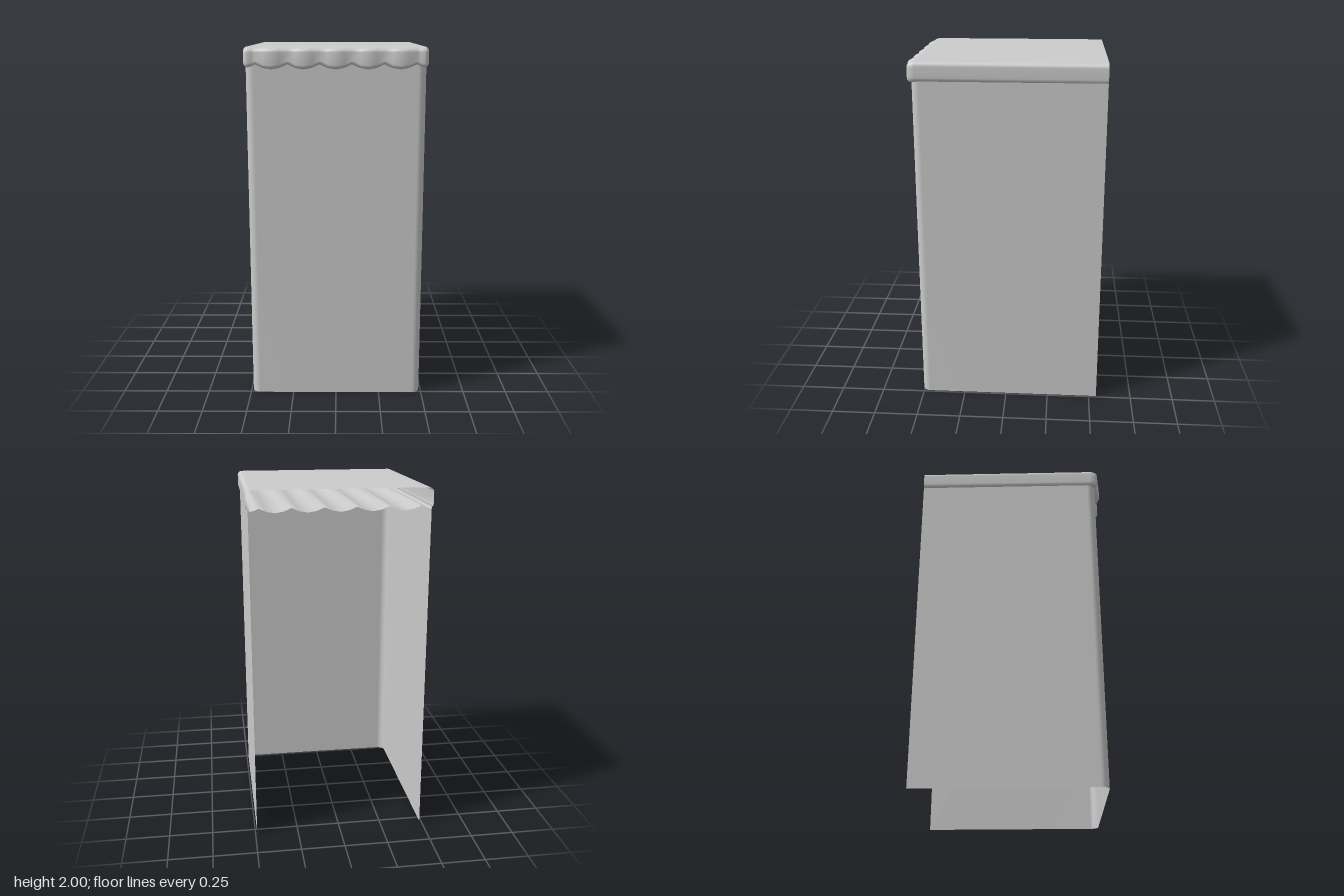
import * as THREE from 'three';

const BACK = -0.545;

// Smooth surface through rows of [x, y, z] points, all rows the same length
function gridGeometry(rows) {
  const n = rows[0].length, index = [];
  for (let i = 0; i < rows.length - 1; i++) {
    for (let j = 0; j < n - 1; j++) {
      const a = i * n + j, b = a + n;
      index.push(a, a + 1, b, b, a + 1, b + 1);
    }
  }
  const g = new THREE.BufferGeometry();
  g.setAttribute('position', new THREE.Float32BufferAttribute(rows.flat(2), 3));
  g.setIndex(index);
  g.computeVertexNormals();
  return g;
}

// U-shaped wall: two sides and a front joined by rounded corners, open at the back
function wallGeometry() {
  const w = 0.49, front = 0.508, r = 0.045, steps = 6;
  const half = [[w, BACK]];
  for (let i = 0; i <= steps; i++) {
    const a = (i / steps) * Math.PI / 2;
    half.push([w - r + r * Math.cos(a), front - r + r * Math.sin(a)]);
  }
  const path = [...half, ...half.map(([x, z]) => [-x, z]).reverse()];
  return gridGeometry(path.map(([x, z]) => [[x, 1.91, z], [x, 0, z]]));
}

// Hollow lid: flat top, scalloped front lip and rippled underside, open at the back
function lidGeometry() {
  const pitch = 0.174, scallops = 5, segs = 4, arc = 4;
  const edge = pitch * scallops / 2;
  const columns = []; // x, top y, bottom y, front z
  for (let i = 0; i <= scallops * segs; i++) {
    const s = Math.sin(((i % segs) / segs) * Math.PI);
    columns.push([-edge + (i * pitch) / segs, 2, 1.905 - 0.025 * s, 0.52 + 0.025 * s]);
  }
  // rounded ends, closing to a line on each side
  const r = 0.025, end = [[0.455, 2, 1.895, 0.525]];
  for (let i = 0; i <= arc; i++) {
    const a = (i / arc) * Math.PI / 2, drop = r * (1 - Math.cos(a));
    end.push([0.5 - r + r * Math.sin(a), 2 - drop, 1.89 + drop, 0.527 - 1.5 * drop]);
  }
  end.push([0.5, 1.945, 1.945, 0.4895]);
  const all = [...end.map(([x, ...p]) => [-x, ...p]).reverse(), ...columns, ...end];

  // each column runs over the top, round the lip and back underneath
  const rows = all.map(([x, top, bottom, front]) => {
    const ry = Math.min(0.03, (top - bottom) / 2), start = 0.485;
    const row = [[x, top, BACK]];
    for (let i = 0; i <= arc; i++) {
      const a = (i / arc) * Math.PI / 2;
      row.push([x, top - ry * (1 - Math.cos(a)), start + (front - start) * Math.sin(a)]);
    }
    const rb = Math.min(0.02, ry), rz = Math.min(0.02, front - start);
    for (let i = 0; i <= arc; i++) {
      const a = (i / arc) * Math.PI / 2;
      row.push([x, bottom + rb * (1 - Math.sin(a)), front - rz * (1 - Math.cos(a))]);
    }
    row.push([x, bottom, BACK]);
    return row;
  });
  return gridGeometry(rows);
}

export function createModel() {
  const group = new THREE.Group();
  group.name = 'boothShell';
  const material = new THREE.MeshStandardMaterial({ color: 0xcccccc, side: THREE.DoubleSide });
  const add = (name, geometry) => {
    const mesh = new THREE.Mesh(geometry, material);
    mesh.name = name;
    group.add(mesh);
  };
  add('walls', wallGeometry());
  add('scallopedLid', lidGeometry());
  return group;
}
